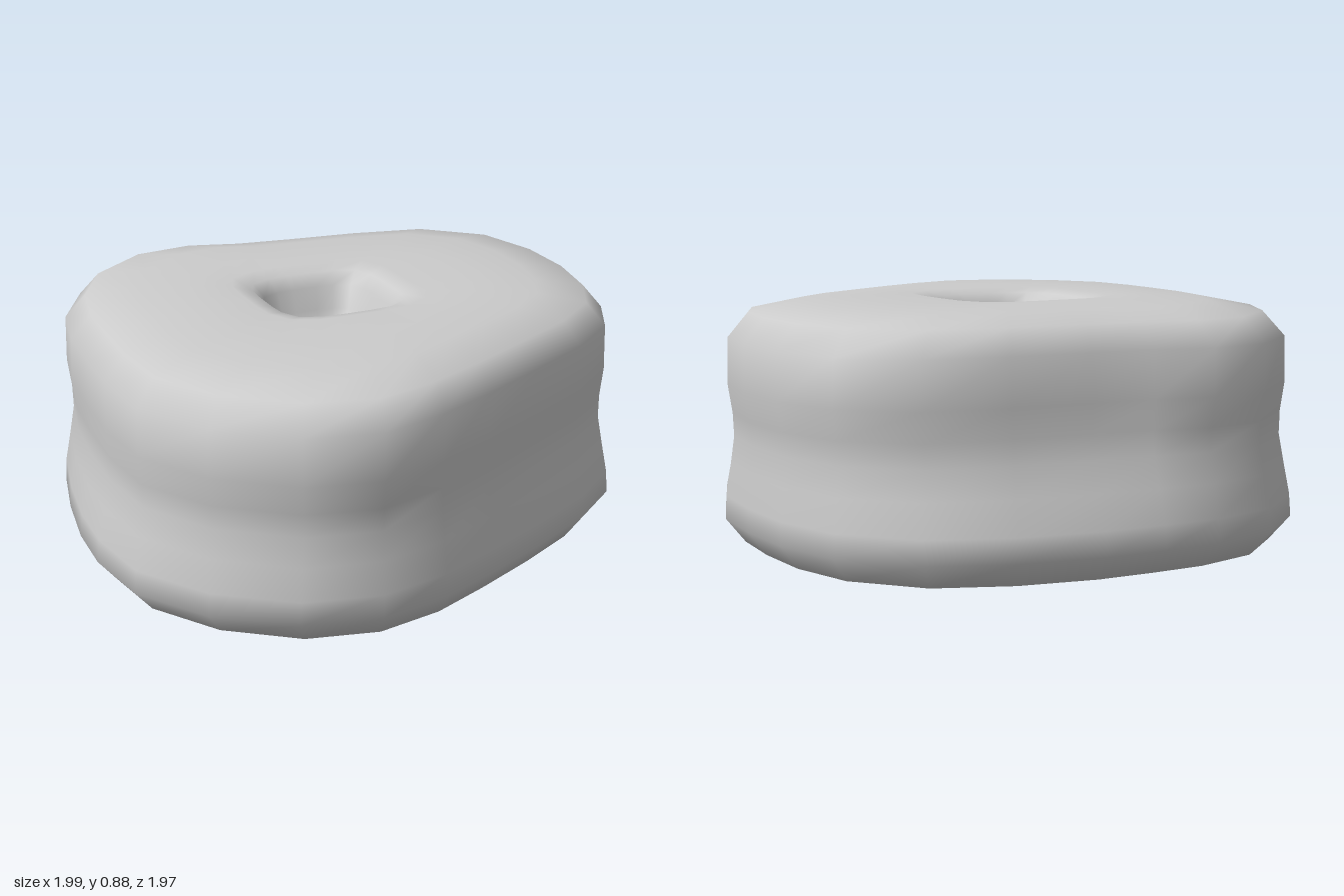
import * as THREE from 'three';

// Widest outlines (x, z) of the lower and upper halves, from +x towards +z
const LOWER = [
  [0.98, -0.04], [0.95, 0.22], [0.86, 0.43], [0.67, 0.58], [0.43, 0.71], [0.18, 0.83],
  [-0.05, 0.93], [-0.3, 0.98], [-0.56, 0.92], [-0.8, 0.74], [-0.96, 0.49], [-1, 0.22],
  [-0.99, 0], [-0.95, -0.25], [-0.89, -0.5], [-0.76, -0.74], [-0.52, -0.93], [-0.26, -0.99],
  [-0.05, -0.99], [0.17, -0.98], [0.46, -0.92], [0.73, -0.8], [0.92, -0.56], [0.98, -0.3],
];
const UPPER = [
  [0.99, -0.04], [0.94, 0.21], [0.84, 0.4], [0.65, 0.55], [0.41, 0.68], [0.16, 0.81],
  [-0.06, 0.91], [-0.3, 0.98], [-0.55, 0.92], [-0.79, 0.73], [-0.93, 0.48], [-0.95, 0.22],
  [-0.94, 0], [-0.92, -0.25], [-0.87, -0.48], [-0.74, -0.72], [-0.51, -0.9], [-0.28, -0.93],
  [-0.08, -0.87], [0.14, -0.84], [0.42, -0.81], [0.71, -0.75], [0.92, -0.56], [0.99, -0.3],
];
const N = LOWER.length;
const PIT = { x: -0.04, z: -0.04 };
const TOP = 0.885;

// Ring following the outer wall: mix 0 = lower outline, 1 = upper outline
const wallRing = (y, scale, mix) => LOWER.map(([x, z], i) => [
  THREE.MathUtils.lerp(x, UPPER[i][0], mix) * scale, y,
  THREE.MathUtils.lerp(z, UPPER[i][1], mix) * scale,
]);

// Rounded-square ring around the pit
const pitRing = (y, half) => LOWER.map(([x, z]) => {
  const a = Math.atan2(z - PIT.z, x - PIT.x);
  const c = Math.cos(a), s = Math.sin(a);
  const r = half / Math.pow(c ** 4 + s ** 4, 0.25);
  return [PIT.x + r * c, y, PIT.z + r * s];
});

// Pit profile: [depth below the face, half width], from floor to rim
const PIT_PROFILE = [[0.24, 0.07], [0.21, 0.14], [0.14, 0.18], [0.06, 0.2], [0.015, 0.235], [0, 0.3]];

// Outer profile: [height, scale, mix], bottom to top
const WALL_PROFILE = [
  [0.003, 0.55, 0], [0.01, 0.77, 0], [0.045, 0.93, 0], [0.13, 1, 0], [0.21, 0.997, 0.1],
  [0.32, 0.983, 0.35], [0.42, 0.972, 0.6], [0.5, 0.978, 0.75], [0.6, 0.997, 0.95], [0.76, 0.995, 1],
  [0.845, 0.92, 1], [0.88, 0.73, 1], [TOP, 0.52, 1],
];

function bodyGeometry() {
  const rings = [
    ...PIT_PROFILE.map(([d, h]) => pitRing(d, h)),
    ...WALL_PROFILE.map((p) => wallRing(...p)),
    ...[...PIT_PROFILE].reverse().map(([d, h]) => pitRing(TOP - d, h)),
  ];
  const points = rings.flat();
  const bottom = points.push([PIT.x, 0.25, PIT.z]) - 1;
  const top = points.push([PIT.x, TOP - 0.25, PIT.z]) - 1;
  const last = (rings.length - 1) * N;
  const index = [];
  for (let i = 0; i < N; i++) {
    const j = (i + 1) % N;
    for (let r = 0; r < last; r += N) {
      index.push(r + i, r + N + i, r + j, r + j, r + N + i, r + N + j);
    }
    // Pit floors
    index.push(bottom, i, j, top, last + j, last + i);
  }
  const geometry = new THREE.BufferGeometry();
  geometry.setAttribute('position', new THREE.Float32BufferAttribute(points.flat(), 3));
  geometry.setIndex(index);
  geometry.computeVertexNormals();
  return geometry;
}

export function createModel() {
  const group = new THREE.Group();
  group.name = 'dimpledStone';
  // Lumpy disc with a square pit in both faces
  const body = new THREE.Mesh(bodyGeometry(), new THREE.MeshStandardMaterial({ color: 0xcccccc }));
  body.name = 'stoneBody';
  group.add(body);
  return group;
}
